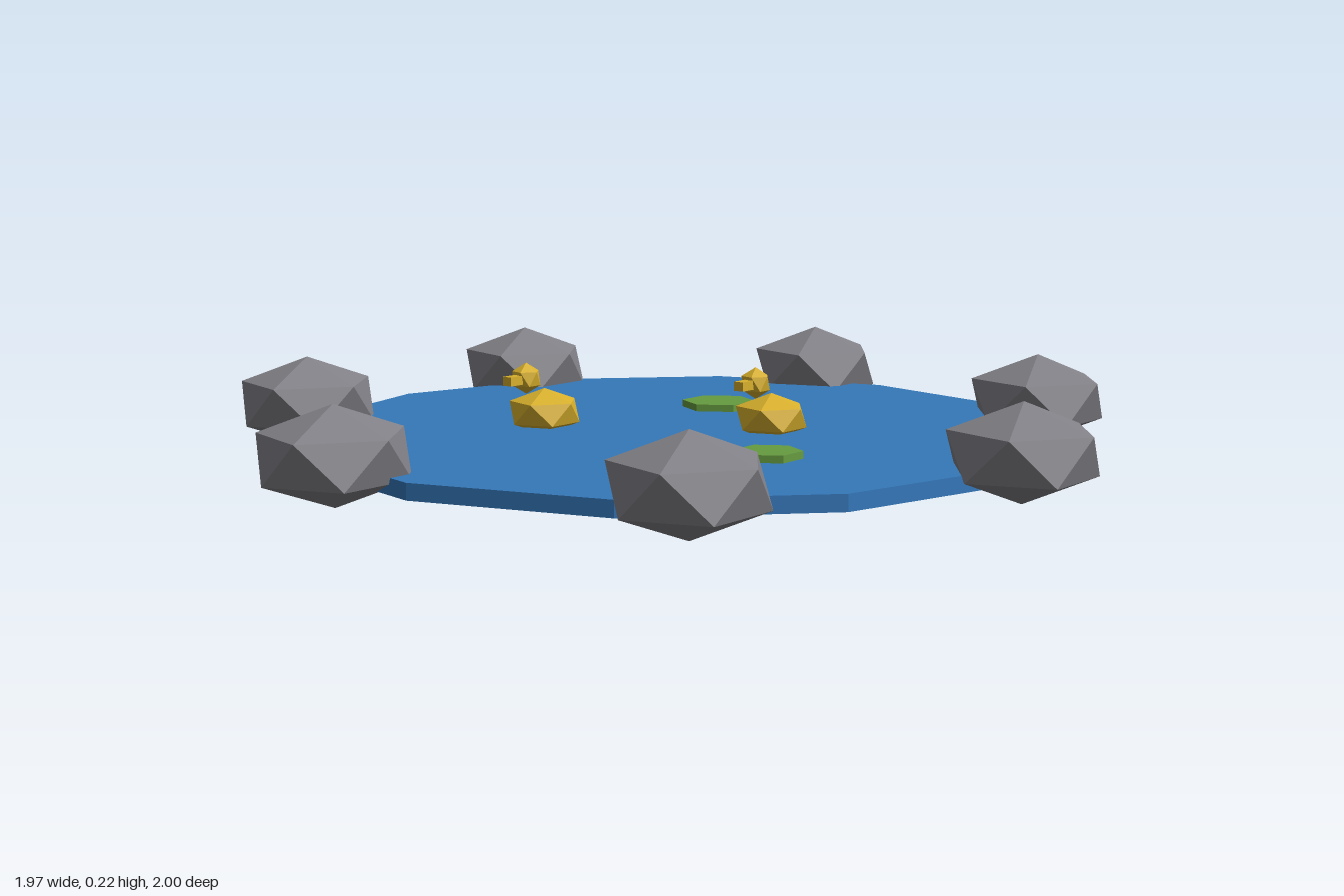
import * as THREE from 'three';
import { ConvexGeometry } from 'three/addons/geometries/ConvexGeometry.js';

const material = (name, color) => {
  const m = new THREE.MeshStandardMaterial({ color, flatShading: true });
  m.name = name;
  return m;
};

// Icosahedron standing on a vertex: two poles and two staggered rings of five
function icoBall(radius, squash = 1) {
  const points = [new THREE.Vector3(0, 1, 0), new THREE.Vector3(0, -1, 0)];
  const h = 1 / Math.sqrt(5), r = 2 / Math.sqrt(5);
  for (let i = 0; i < 5; i++) {
    const a = i * Math.PI * 2 / 5;
    points.push(new THREE.Vector3(r * Math.cos(a), h, r * Math.sin(a)));
    points.push(new THREE.Vector3(-r * Math.cos(a), -h, r * Math.sin(a)));
  }
  return new ConvexGeometry(points).scale(radius, radius * squash, radius);
}

export function createModel() {
  const water = material('water blue', 0x3578ba);
  const stone = material('stone grey', 0x828187);
  const leaf = material('leaf green', 0x669c40);
  const gold = material('duck yellow', 0xd8b02c);

  const model = new THREE.Group();
  model.name = 'pond';
  const add = (parent, name, geometry, mat, x, y, z) => {
    const mesh = new THREE.Mesh(geometry, mat);
    mesh.name = name;
    mesh.position.set(x, y, z);
    parent.add(mesh);
  };

  // Twelve-sided sheet of water
  add(model, 'water', new THREE.CylinderGeometry(0.848, 0.848, 0.035, 12), water, -0.042, 0.0535, -0.005);

  // Ring of seven rocks
  const rock = icoBall(0.172, 0.605);
  [[0.828, -0.005], [0.51, 0.67], [-0.23, 0.853], [-0.828, 0.38],
    [-0.833, -0.378], [-0.24, -0.853], [0.497, -0.69]]
    .forEach(([x, z]) => add(model, 'rock', rock, stone, x, 0.104, z));

  // Hexagonal lily pads
  [[-0.145, -0.302, 0.088], [0.352, 0.196, 0.072]].forEach(([x, z, r]) =>
    add(model, 'lilyPad', new THREE.CylinderGeometry(r, r, 0.016, 6), leaf, x, 0.079, z));

  // Two ducks facing the front
  const body = icoBall(0.088, 0.605), head = icoBall(0.035);
  const beak = new THREE.BoxGeometry(0.024, 0.02, 0.045);
  [[0.156, -0.092], [-0.295, 0.155]].forEach(([x, z]) => {
    const duck = new THREE.Group();
    duck.name = 'duck';
    duck.position.set(x, 0, z);
    add(duck, 'body', body, gold, 0, 0.102, 0);
    add(duck, 'head', head, gold, 0, 0.184, 0.06);
    add(duck, 'beak', beak, gold, 0, 0.183, 0.101);
    model.add(duck);
  });

  return model;
}
